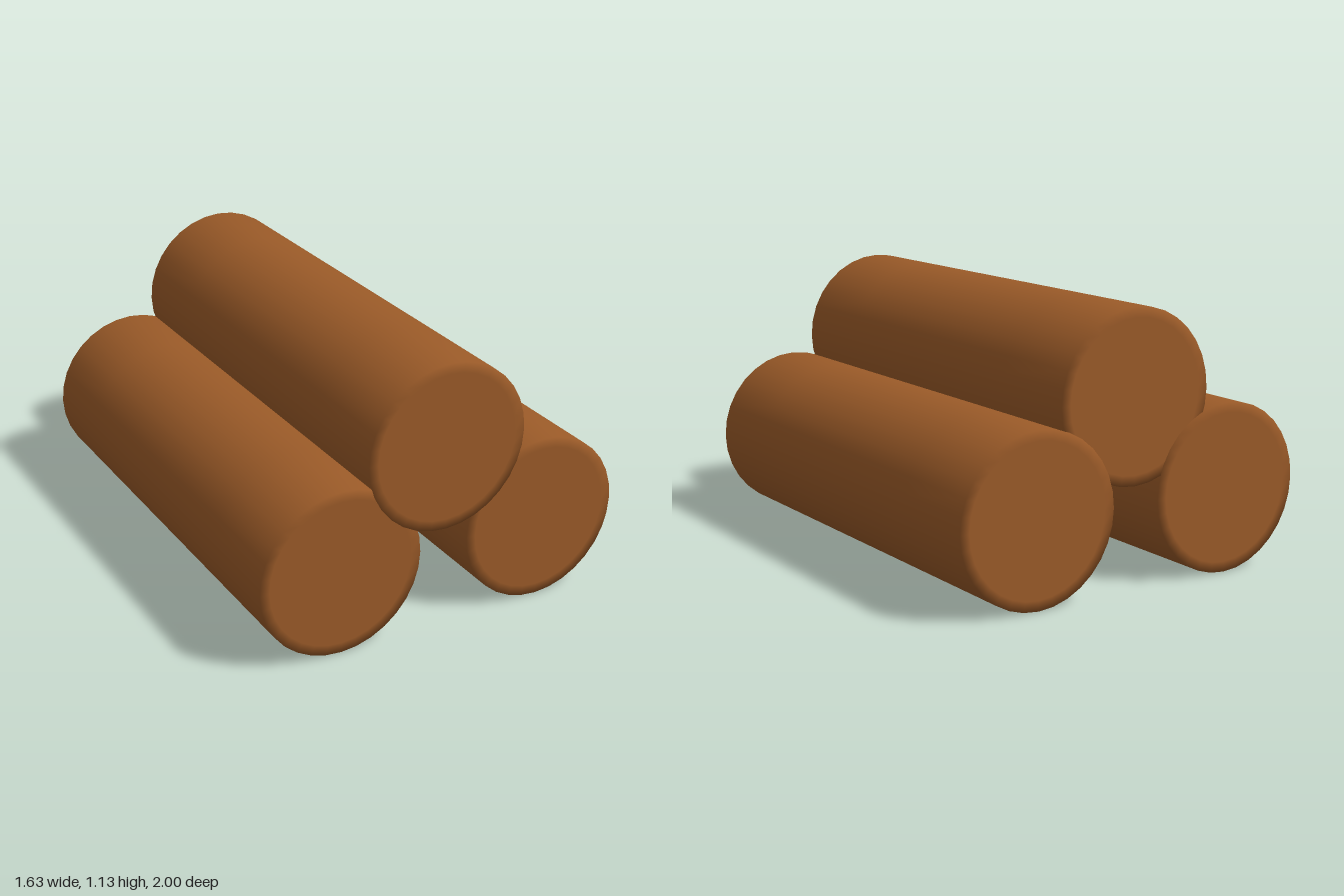
import * as THREE from 'three';

const RADIUS = 0.354;

// Log lying along z, with softly shaded rims around its flat ends
function logGeometry() {
  const profile = [
    [0, -1], [RADIUS * 0.88, -1], [RADIUS, -1], [RADIUS, -0.6],
    [RADIUS, 0.6], [RADIUS, 1], [RADIUS * 0.88, 1], [0, 1],
  ].map(([r, y]) => new THREE.Vector2(r, y));
  return new THREE.LatheGeometry(profile, 32).rotateX(Math.PI / 2);
}

export function createModel() {
  const model = new THREE.Group();
  model.name = 'logPile';

  const bark = new THREE.MeshStandardMaterial({ color: 0x9a5a28 });
  bark.name = 'brown wood';

  const geometry = logGeometry();
  const addLog = (name, x, y, z) => {
    const log = new THREE.Mesh(geometry, bark);
    log.name = name;
    log.position.set(x, y, z);
    model.add(log);
  };

  // Two logs on the ground, the third resting between them, a hair forward
  addLog('leftLog', 0.462, RADIUS, -0.001);
  addLog('rightLog', -0.462, RADIUS, -0.001);
  addLog('topLog', 0.006, 0.78, 0.001);

  return model;
}
